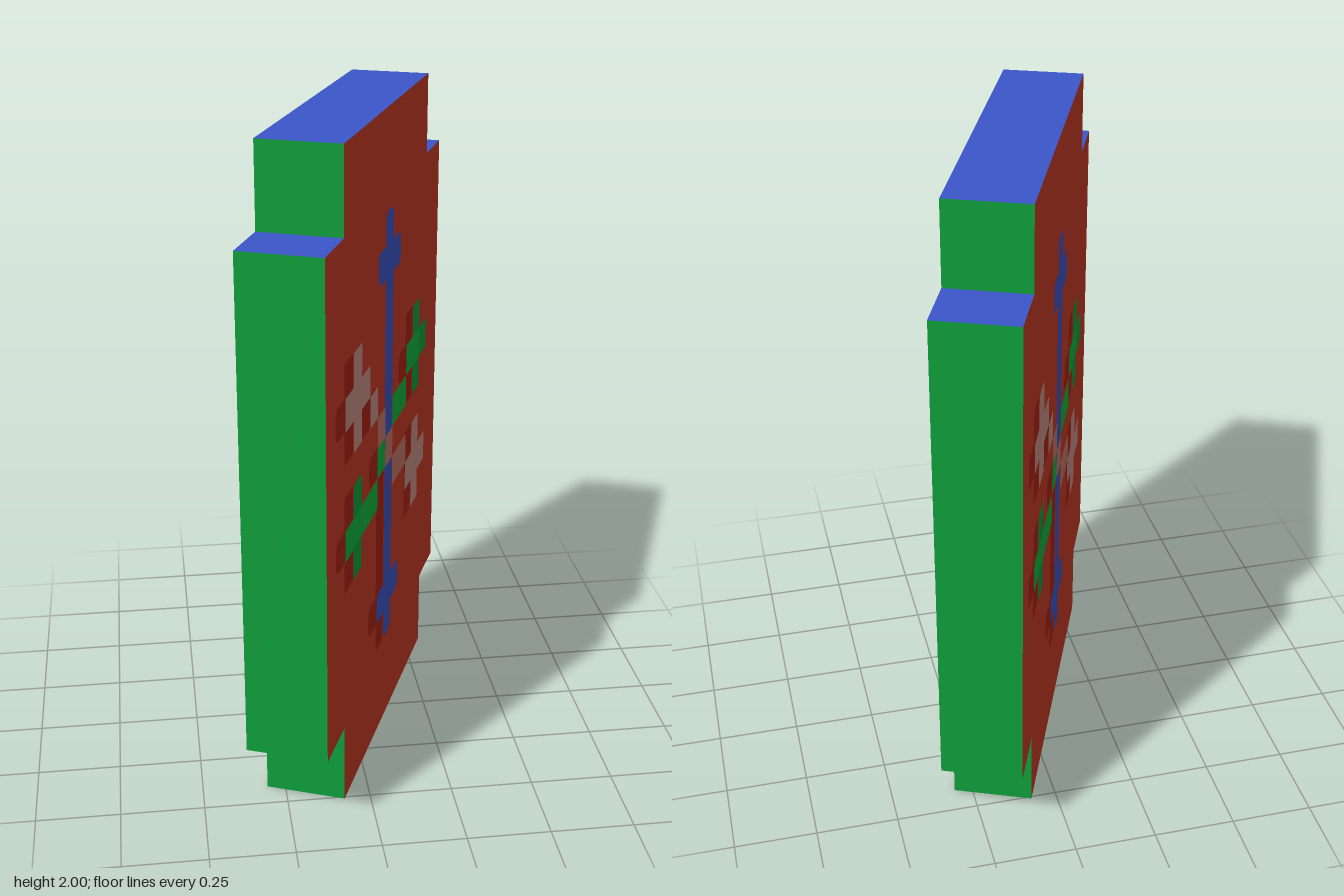
import * as THREE from 'three';

const mat = (name, color) => {
  const m = new THREE.MeshStandardMaterial({ color });
  m.name = name;
  return m;
};

const T = 0.244;               // slab thickness
const CW = 0.0918, CH = 0.1;   // inlay grid cell

// Flat rectangle on the inlay grid, its corners clipped by c
function cellShape(col, row, cols, rows, c) {
  const w = cols * CW / 2, h = rows * CH / 2;
  const x = (col - 0.5) * CW + w, y = row * CH + h;
  const points = [];
  for (const [sx, sy] of [[1, 1], [-1, 1], [-1, -1], [1, -1]]) {
    const pair = [
      new THREE.Vector2(x + sx * w, y + sy * (h - c)),
      new THREE.Vector2(x + sx * (w - c), y + sy * h),
    ];
    if (c === 0) points.push(pair[0]);
    else points.push(...(sx * sy > 0 ? pair : pair.reverse()));
  }
  return new THREE.Shape(points);
}

export function createModel() {
  const red = mat('red face', 0xcb3b24), blue = mat('blue', 0x3c56cb), green = mat('green edge', 0x0f9f3c);
  const shade = mat('dark red', 0xb02310), leaf = mat('bright green', 0x12b73f);
  const rose = mat('rose', 0xc8786c), pale = mat('pale pink', 0xcd9389);
  const root = new THREE.Group();
  const model = new THREE.Group();
  model.name = 'tablet';
  model.rotation.y = THREE.MathUtils.degToRad(67.5);
  root.add(model);

  // Slab: wide body with a narrower cap and foot
  const block = (name, width, height, y) => {
    const mesh = new THREE.Mesh(new THREE.BoxGeometry(width, height, T), [green, green, blue, blue, red, red]);
    mesh.name = name;
    mesh.position.y = y;
    model.add(mesh);
  };
  block('body', 1.37, 1.5, 1);
  block('cap', 1, 0.25, 1.875);
  block('foot', 1, 0.25, 0.125);

  // The same inlay on both broad faces
  for (const turn of [0, Math.PI]) {
    const side = new THREE.Group();
    side.name = turn ? 'backInlay' : 'frontInlay';
    side.rotation.y = turn;
    model.add(side);

    const inlay = (name, material, lift, col, row, cols = 1, rows = 1, clip = 0) => {
      const mesh = new THREE.Mesh(new THREE.ShapeGeometry(cellShape(col, row, cols, rows, clip)), material);
      mesh.name = name;
      mesh.position.z = T / 2 + lift;
      side.add(mesh);
    };
    const shadow = (col, row, cols, rows, clip = 0.018) =>
      inlay('shadow', shade, 0.002, col, row, cols, rows, clip);
    // Cross-shaped flower with a shadow one cell to its left
    const flower = (name, petal, heart, col, row) => {
      shadow(col - 1, row - 1, 1, 3, 0);
      inlay(name + 'Petals', petal, 0.004, col, row - 1, 1, 3);
      inlay(name + 'Heart', heart, 0.005, col - 1, row, 3);
    };

    // Blue staff with two crossbars
    shadow(-1, 3, 1, 6);
    shadow(-2, 4, 2, 1);
    inlay('staff', blue, 0.004, 0, 3, 1, 14, 0.018);
    for (const row of [4, 15]) inlay('crossbar', blue, 0.0045, -1, row, 3, 1, 0.018);

    // Flowers
    flower('lowerGreen', green, leaf, -4, 8);
    flower('upperGreen', green, leaf, 4, 11);
    inlay('upperGreenTip', green, 0.006, 5, 11);
    flower('upperPink', pale, pale, -4, 12);
    flower('lowerPink', pale, pale, 4, 7);
    for (const [col, row] of [[-6, 12], [-6, 8], [2, 11], [-3, 11], [-2, 9]]) shadow(col, row, 2, 1);

    // Stems crossing at the staff
    inlay('greenStem', leaf, 0.005, -2, 8);
    inlay('greenStem', leaf, 0.005, -1, 9);
    inlay('greenStem', leaf, 0.005, 1, 10, 2);
    inlay('pinkStem', pale, 0.005, -2, 11);
    inlay('roseStem', rose, 0.006, -1, 10);
    inlay('roseStem', rose, 0.006, 0, 9);
    inlay('roseStem', rose, 0.006, 1, 8, 2);
  }
  return root;
}
